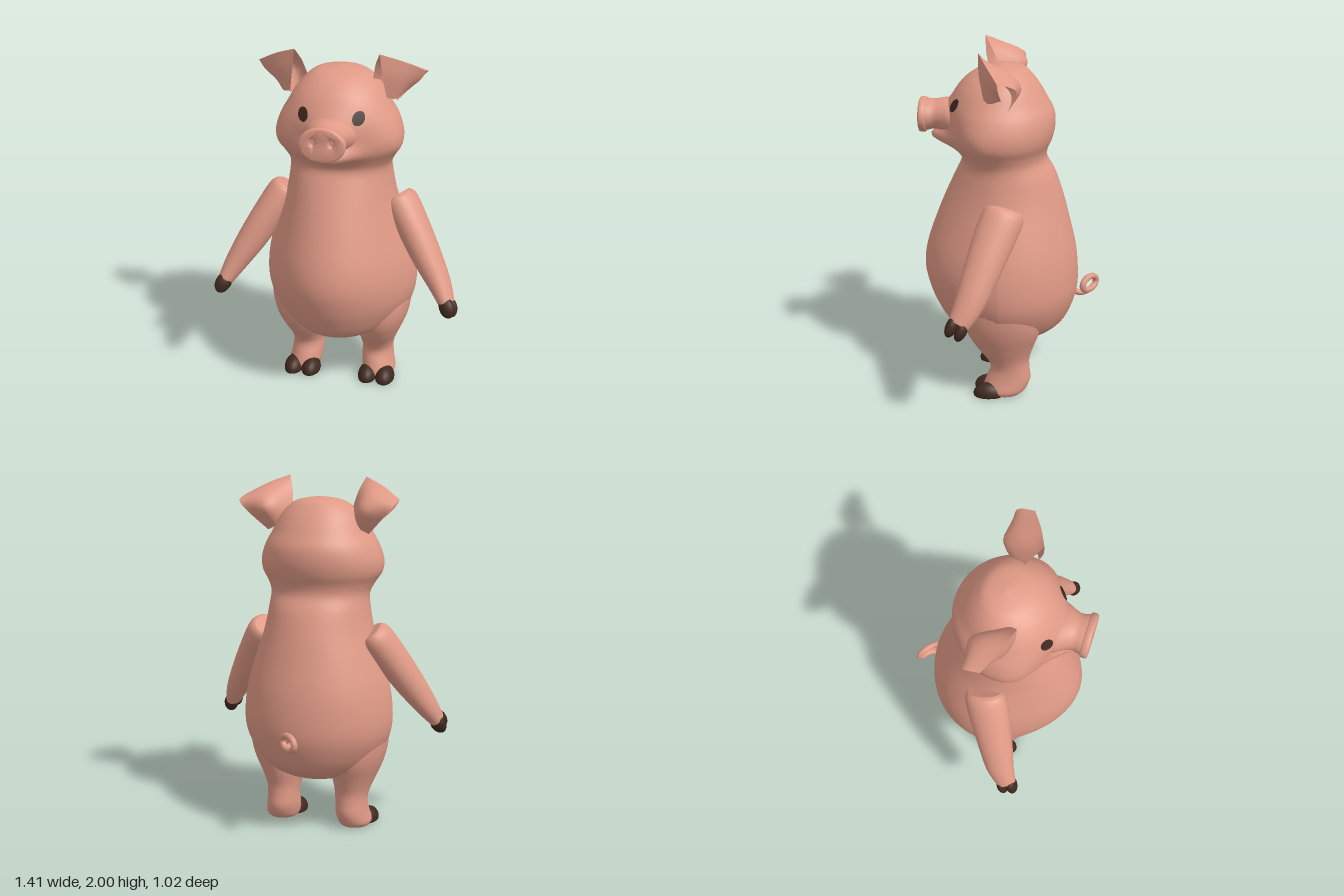
import * as THREE from 'three';
import { toCreasedNormals } from 'three/addons/utils/BufferGeometryUtils.js';

const skin = new THREE.MeshStandardMaterial({ color: 0xe09a86, side: THREE.DoubleSide });
skin.name = 'pink skin';
const dark = new THREE.MeshStandardMaterial({ color: 0x40291f, side: THREE.DoubleSide });
dark.name = 'dark brown';

const V = (x, y, z) => new THREE.Vector3(x, y, z);
const step = THREE.MathUtils.smoothstep;

// Catmull-Rom interpolation through rows of numbers
function smooth(rows, steps) {
  const out = [];
  const at = i => rows[Math.max(0, Math.min(rows.length - 1, i))];
  for (let i = 0; i < rows.length - 1; i++)
    for (let s = 0; s < steps; s++) {
      const t = s / steps, [a, b, c, d] = [at(i - 1), at(i), at(i + 1), at(i + 2)];
      out.push(b.map((_, k) => b[k] + 0.5 * t * (c[k] - a[k]
        + t * (2 * a[k] - 5 * b[k] + 4 * c[k] - d[k]
        + t * (3 * (b[k] - c[k]) + d[k] - a[k])))));
    }
  out.push(rows[rows.length - 1]);
  return out;
}

// Surface through rings of points; closed rings get flat end caps
function loft(rings, closed = true) {
  const pos = [], idx = [], n = rings[0].length;
  rings.forEach(r => r.forEach(p => pos.push(p.x, p.y, p.z)));
  for (let i = 0; i < rings.length - 1; i++)
    for (let j = 0; j < (closed ? n : n - 1); j++) {
      const k = (j + 1) % n, a = i * n + j, b = i * n + k;
      idx.push(a, b, a + n, b, b + n, a + n);
    }
  if (closed) [rings[0], rings[rings.length - 1]].forEach((r, end) => {
    const base = pos.length / 3, c = V(0, 0, 0);
    r.forEach(p => { pos.push(p.x, p.y, p.z); c.addScaledVector(p, 1 / n); });
    pos.push(c.x, c.y, c.z);
    for (let j = 0; j < n; j++) {
      const k = (j + 1) % n;
      idx.push(base + n, base + (end ? j : k), base + (end ? k : j));
    }
  });
  const g = new THREE.BufferGeometry();
  g.setAttribute('position', new THREE.Float32BufferAttribute(pos, 3));
  g.setIndex(idx);
  g.computeVertexNormals();
  return g;
}

// Ring around centre c, with u x v along the loft direction
function ring(c, u, v, n = 28) {
  return Array.from({ length: n }, (_, i) => {
    const a = i / n * Math.PI * 2;
    return c.clone().addScaledVector(u, Math.cos(a)).addScaledVector(v, Math.sin(a));
  });
}

function mirrored(geo) {
  const g = geo.clone().scale(-1, 1, 1), ix = g.index.array;
  for (let i = 0; i < ix.length; i += 3) [ix[i], ix[i + 1]] = [ix[i + 1], ix[i]];
  return g;
}

// Torso and head: y, half width, front z, back z
const bodyRows = smooth([
  [0.275, 0.01, 0.05, 0.03], [0.29, 0.14, 0.14, -0.11], [0.33, 0.25, 0.26, -0.22],
  [0.4, 0.335, 0.37, -0.31], [0.5, 0.4, 0.43, -0.36], [0.6, 0.432, 0.47, -0.385],
  [0.72, 0.432, 0.495, -0.385], [0.85, 0.41, 0.48, -0.37], [1.0, 0.365, 0.43, -0.335],
  [1.15, 0.315, 0.37, -0.295], [1.28, 0.29, 0.31, -0.25], [1.36, 0.285, 0.275, -0.205],
  [1.42, 0.31, 0.285, -0.205], [1.48, 0.345, 0.305, -0.23], [1.55, 0.35, 0.32, -0.245],
  [1.63, 0.325, 0.325, -0.24], [1.7, 0.285, 0.318, -0.205], [1.77, 0.245, 0.29, -0.165],
  [1.83, 0.195, 0.235, -0.12], [1.875, 0.128, 0.155, -0.068], [1.895, 0.01, 0.05, 0.03],
], 4);

// z of the widest line, further forward in the head
const midZ = y => 0.04 + 0.045 * step(y, 1.3, 1.5) * (1 - step(y, 1.68, 1.88));

// Front of the body; c runs from 1 at the centre line to 0 at the sides
function frontZ(x, y, f, c) {
  // The belly narrows forward, the cheeks are full
  const power = 1 + 0.45 * step(1.4 - y, 0, 0.5) - 0.2 * Math.exp(-(((y - 1.52) / 0.1) ** 2));
  const chin = 0.13 * Math.exp(-((x / 0.135) ** 2) - ((y - 1.485) / 0.055) ** 2);
  const nose = 0.055 * Math.exp(-((x / 0.14) ** 2) - ((y - 1.61) / 0.095) ** 2);
  return midZ(y) + (f - midZ(y)) * c ** power + (chin + nose) * Math.min(1, c * 2);
}

function bodyGeometry() {
  return loft(bodyRows.map(([y, w, f, b]) => Array.from({ length: 96 }, (_, i) => {
    const a = i / 96 * Math.PI * 2, c = Math.cos(a), x = w * Math.sin(a);
    return V(x, y, c > 0 ? frontZ(x, y, f, c) : midZ(y) + (midZ(y) - b) * c);
  })));
}

// Thin oval laid on the face
function eyeGeometry() {
  const g = new THREE.CircleGeometry(1, 24).scale(0.031, 0.036, 1).translate(0.15, 1.69, 0);
  const p = g.attributes.position;
  for (let i = 0; i < p.count; i++) {
    const x = p.getX(i), y = p.getY(i), k = bodyRows.findIndex(r => r[0] > y);
    const [a, b] = [bodyRows[k - 1], bodyRows[k]], t = (y - a[0]) / (b[0] - a[0]);
    const [w, f] = [1, 2].map(j => a[j] + t * (b[j] - a[j]));
    p.setZ(i, frontZ(x, y, f, Math.sqrt(1 - (x / w) ** 2)) + 0.006);
  }
  g.computeVertexNormals();
  return g;
}

// Leg: y, centre x, half width, front z, back z
function legGeometry() {
  return loft(smooth([
    [0.004, 0.225, 0.085, 0.12, -0.07], [0.03, 0.225, 0.096, 0.145, -0.1],
    [0.09, 0.215, 0.094, 0.13, -0.125], [0.16, 0.212, 0.091, 0.105, -0.12],
    [0.22, 0.213, 0.1, 0.13, -0.12], [0.3, 0.22, 0.125, 0.19, -0.145],
    [0.4, 0.237, 0.148, 0.24, -0.18], [0.5, 0.245, 0.162, 0.25, -0.19],
    [0.6, 0.235, 0.17, 0.23, -0.18], [0.72, 0.2, 0.14, 0.18, -0.12],
  ], 4).map(([y, x, w, f, b]) => ring(V(x, y, (f + b) / 2), V(0, 0, (f - b) / 2), V(w, 0, 0))));
}

// Toe of a foot, flattened on the ground
function toeGeometry(x) {
  const g = new THREE.SphereGeometry(1, 20, 14).scale(0.056, 0.066, 0.088).translate(x, 0.01, 0.113);
  const p = g.attributes.position;
  for (let i = 0; i < p.count; i++) p.setY(i, Math.max(0, p.getY(i)));
  g.computeVertexNormals();
  return g;
}

// Arm: centre x, y, z, radius front to back, radius across
function armGeometry() {
  const rows = smooth([
    [0.318, 1.152, 0.012, 0.095, 0.06], [0.337, 1.125, 0.022, 0.115, 0.09],
    [0.4, 1.025, 0.065, 0.115, 0.092], [0.5, 0.86, 0.13, 0.1, 0.084],
    [0.587, 0.72, 0.185, 0.082, 0.065], [0.643, 0.62, 0.24, 0.06, 0.044],
  ], 4);
  return loft(rows.map((r, i) => {
    const a = rows[Math.max(0, i - 1)], b = rows[Math.min(rows.length - 1, i + 1)];
    const d = V(b[0] - a[0], b[1] - a[1], b[2] - a[2]).normalize();
    const u = V(0, 0, 1).addScaledVector(d, -d.z).normalize();
    return ring(V(r[0], r[1], r[2]), u.clone().multiplyScalar(r[3]), d.clone().cross(u).multiplyScalar(r[4]));
  }));
}

// Cloven tip of the arm, pointing along the forearm
function fingerGeometry(side) {
  const d = V(0.38, -0.84, 0.38).normalize();
  const u = V(0, 0, 1).addScaledVector(d, -d.z).normalize();
  const m = new THREE.Matrix4().makeBasis(u, d, u.clone().cross(d));
  return new THREE.SphereGeometry(1, 16, 12).scale(0.033, 0.062, 0.044).applyMatrix4(m)
    .translate(0.653 + u.x * side * 0.028, 0.603 + u.y * side * 0.028, 0.25 + u.z * side * 0.028);
}

// Ear sheet through rows of three points
function earSheet(rows) {
  return loft(smooth(rows, 5).map(r => new THREE.CatmullRomCurve3(
    [0, 3, 6].map(k => V(r[k], r[k + 1], r[k + 2]))).getPoints(10)), false);
}

export function createModel() {
  const model = new THREE.Group();
  model.name = 'pig';
  const add = (name, geo, mat = skin) => {
    const m = new THREE.Mesh(geo, mat);
    m.name = name;
    model.add(m);
    return m;
  };
  const pair = (name, geo, mat) => {
    add('left' + name, geo, mat);
    add('right' + name, mirrored(geo), mat);
  };

  add('bodyAndHead', bodyGeometry());

  // Muzzle: z, centre y, half width, half height
  add('muzzle', loft(smooth([
    [0.25, 1.59, 0.16, 0.1], [0.33, 1.595, 0.142, 0.1], [0.375, 1.602, 0.118, 0.092],
    [0.42, 1.604, 0.102, 0.082], [0.455, 1.602, 0.11, 0.086], [0.48, 1.6, 0.118, 0.09],
  ], 4).map(([z, y, w, h]) => ring(V(0, y, z), V(w, 0, 0), V(0, h, 0)))));

  // Snout disc with nostril holes
  const disc = new THREE.Shape().absellipse(0, 0, 0.112, 0.083, 0, Math.PI * 2);
  for (const s of [-1, 1])
    disc.holes.push(new THREE.Path().absellipse(s * 0.05, 0.015, 0.026, 0.034, 0, Math.PI * 2, true));
  const snout = new THREE.ExtrudeGeometry(disc, {
    depth: 0.016, bevelSize: 0.013, bevelThickness: 0.013, bevelSegments: 4, curveSegments: 20,
  });
  add('snoutDisc', toCreasedNormals(snout, 0.7)).position.set(0, 1.6, 0.479);

  pair('Eye', eyeGeometry(), dark);

  // Folded ears: back sheet and hanging flap
  const fold = [0.23, 2.0, 0.16, 0.345, 1.955, 0.11, 0.46, 1.89, 0.045];
  pair('EarBack', earSheet([
    [0.16, 1.77, 0.08, 0.24, 1.73, -0.01, 0.3, 1.7, 0.0],
    [0.18, 1.84, 0.08, 0.28, 1.83, -0.07, 0.39, 1.79, -0.045],
    [0.2, 1.93, 0.12, 0.31, 1.91, -0.01, 0.455, 1.86, -0.05], fold,
  ]));
  pair('EarFlap', earSheet([
    fold,
    [0.245, 1.88, 0.155, 0.335, 1.86, 0.115, 0.425, 1.835, 0.04],
    [0.265, 1.755, 0.13, 0.31, 1.745, 0.1, 0.36, 1.775, 0.03],
  ]));

  pair('Arm', armGeometry());
  pair('FrontFinger', fingerGeometry(1), dark);
  pair('BackFinger', fingerGeometry(-1), dark);

  pair('Leg', legGeometry());
  pair('InnerToe', toeGeometry(0.173), dark);
  pair('OuterToe', toeGeometry(0.277), dark);

  // Curly tail: a stem and one slanted loop
  const path = [V(0.015, 0.57, -0.35), V(0.025, 0.553, -0.4)];
  for (let i = 0; i <= 10; i++) {
    const a = i / 10 * Math.PI * 2, s = Math.sin(a);
    path.push(V(-0.003 - 0.05 * s, 0.6 - 0.04 * Math.cos(a), -0.455 - 0.038 * s));
  }
  add('tail', new THREE.TubeGeometry(new THREE.CatmullRomCurve3(path), 60, 0.018, 10));

  return model;
}
